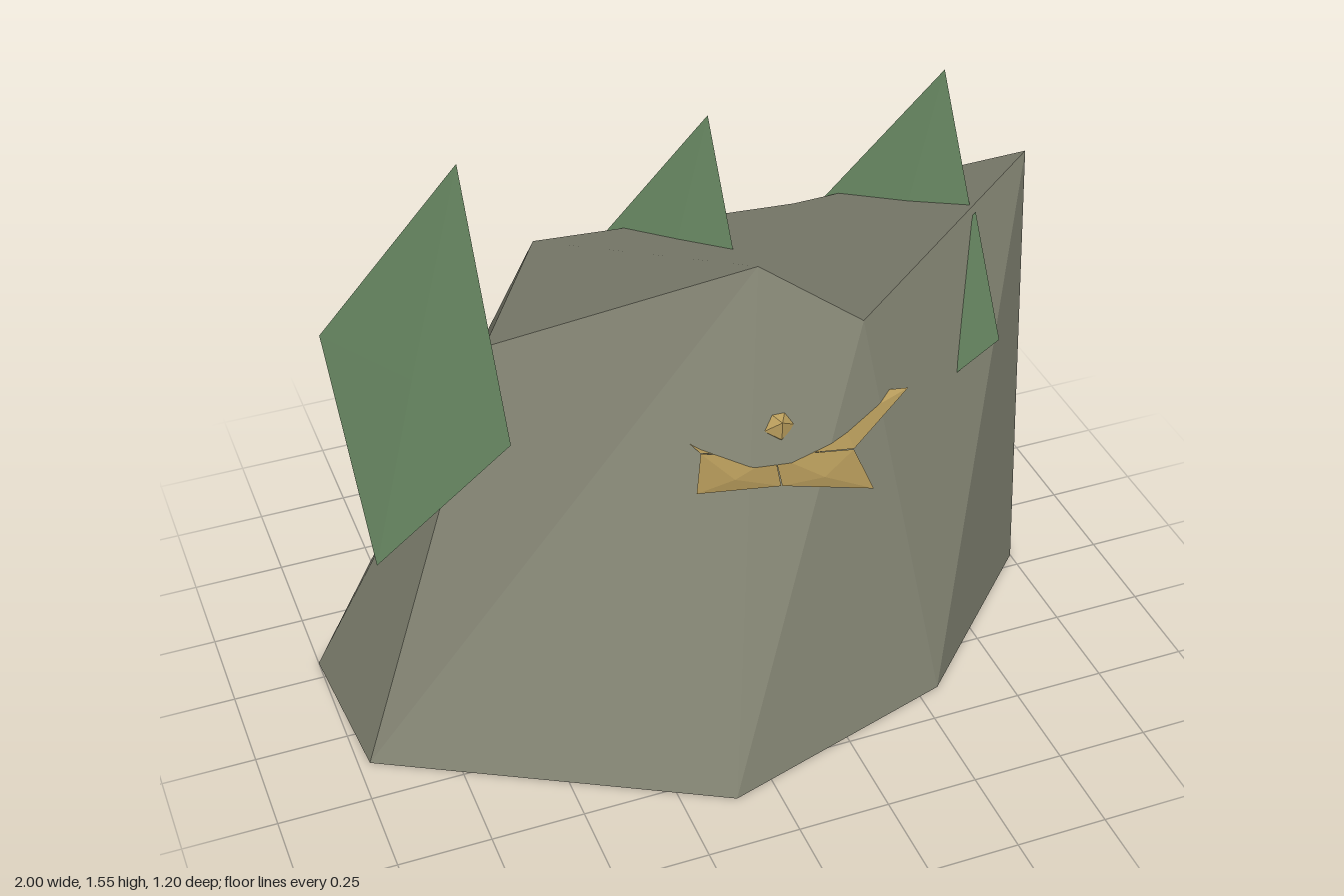
import * as THREE from 'three';

const rock = new THREE.MeshStandardMaterial({ color: 0x838473 });
rock.name = 'rockGrey';
const leaf = new THREE.MeshStandardMaterial({ color: 0x668560, side: THREE.DoubleSide });
leaf.name = 'leafGreen';
const gold = new THREE.MeshStandardMaterial({ color: 0xb99d5c, side: THREE.DoubleSide });
gold.name = 'petalGold';

// Flat-shaded geometry from corner points and triangles
function facets(points, triangles) {
  const g = new THREE.BufferGeometry();
  g.setAttribute('position', new THREE.Float32BufferAttribute(triangles.flat().flatMap(i => points[i]), 3));
  g.computeVertexNormals();
  return g;
}

function addMesh(parent, name, geometry, material) {
  const mesh = new THREE.Mesh(geometry, material);
  mesh.name = name;
  parent.add(mesh);
  return mesh;
}

// Seven-sided boulder: ground outline and slanted upper outline
function buildRock(parent) {
  const base = [[-1, 0, -0.31], [-0.97, 0, 0.12], [-0.11, 0, 0.59], [0.56, 0, 0.39],
    [1, 0, -0.045], [0.45, 0, -0.54], [-0.38, 0, -0.605]];
  const top = [[-0.33, 1.24, -0.3], [-0.55, 1.15, -0.02], [0.11, 1.33, 0.14], [0.37, 1.15, 0.21],
    [0.98, 1.32, -0.135], [0.45, 1.1, -0.435], [-0.15, 0.82, -0.545]];
  const n = base.length, sides = [];
  for (let i = 0; i < n; i++) {
    const j = (i + 1) % n;
    sides.push([i, j, n + j], [i, n + j, n + i]);
  }
  for (let i = 1; i < n - 1; i++) sides.push([0, i + 1, i]); // underside
  addMesh(parent, 'rockSides', facets([...base, ...top], sides), rock);

  // The cap is one warped facet with a single shared normal
  const cap = facets(top, [[0, 1, 2], [0, 2, 5], [0, 5, 6], [2, 3, 5], [3, 4, 5]]);
  const normal = new THREE.Vector3();
  top.forEach((p, i) => normal.add(
    new THREE.Vector3(...p).cross(new THREE.Vector3(...top[(i + 1) % n]))));
  normal.normalize();
  for (let i = 0; i < cap.attributes.normal.count; i++) {
    cap.attributes.normal.setXYZ(i, normal.x, normal.y, normal.z);
  }
  addMesh(parent, 'rockTop', cap, rock);
}

// Thin diamond blade, very slightly thicker in the middle
function bladeGeometry() {
  const rim = [[0.165, 0.55, -0.08], [-0.17, -0.03, -0.315], [-0.16, -0.5, 0.085], [0.15, -0.02, 0.325]];
  const t = [0.009, -0.003, -0.006];
  const points = [...rim, t.map(v => -v), t];
  const tris = [];
  for (let i = 0; i < 4; i++) {
    const j = (i + 1) % 4;
    tris.push([i, j, 4], [j, i, 5]);
  }
  return facets(points, tris);
}

// Open five-petal blossom with a faceted heart
function buildFlower() {
  const flower = new THREE.Group();
  flower.name = 'flower';
  flower.position.set(0.12, 0.82, 0.25);
  const petal = facets(
    [[0, 0, 0], [0.165, 0.063, 0.118], [0.19, 0.048, 0], [0.165, 0.063, -0.118], [0.365, 0.12, 0]],
    [[0, 1, 2], [1, 4, 2], [0, 2, 3], [2, 4, 3]]);
  for (let i = 0; i < 5; i++) {
    addMesh(flower, 'petal', petal, gold).rotation.y = -i * Math.PI * 2 / 5;
  }
  addMesh(flower, 'flowerHeart', new THREE.IcosahedronGeometry(0.05, 0), gold).position.y = 0.108;
  return flower;
}

export function createModel() {
  const model = new THREE.Group();
  model.name = 'boulderWithPlants';
  buildRock(model);

  // Three tall blades in a row and one small blade
  const blade = bladeGeometry();
  for (let i = 0; i < 3; i++) {
    addMesh(model, 'tallLeaf', blade, leaf).position.set(-0.7 + i * 0.657, 1, -0.155);
  }
  const small = addMesh(model, 'smallLeaf', blade, leaf);
  small.position.set(0.7, 0.985, 0.03);
  small.scale.setScalar(0.48);

  model.add(buildFlower());
  return model;
}
